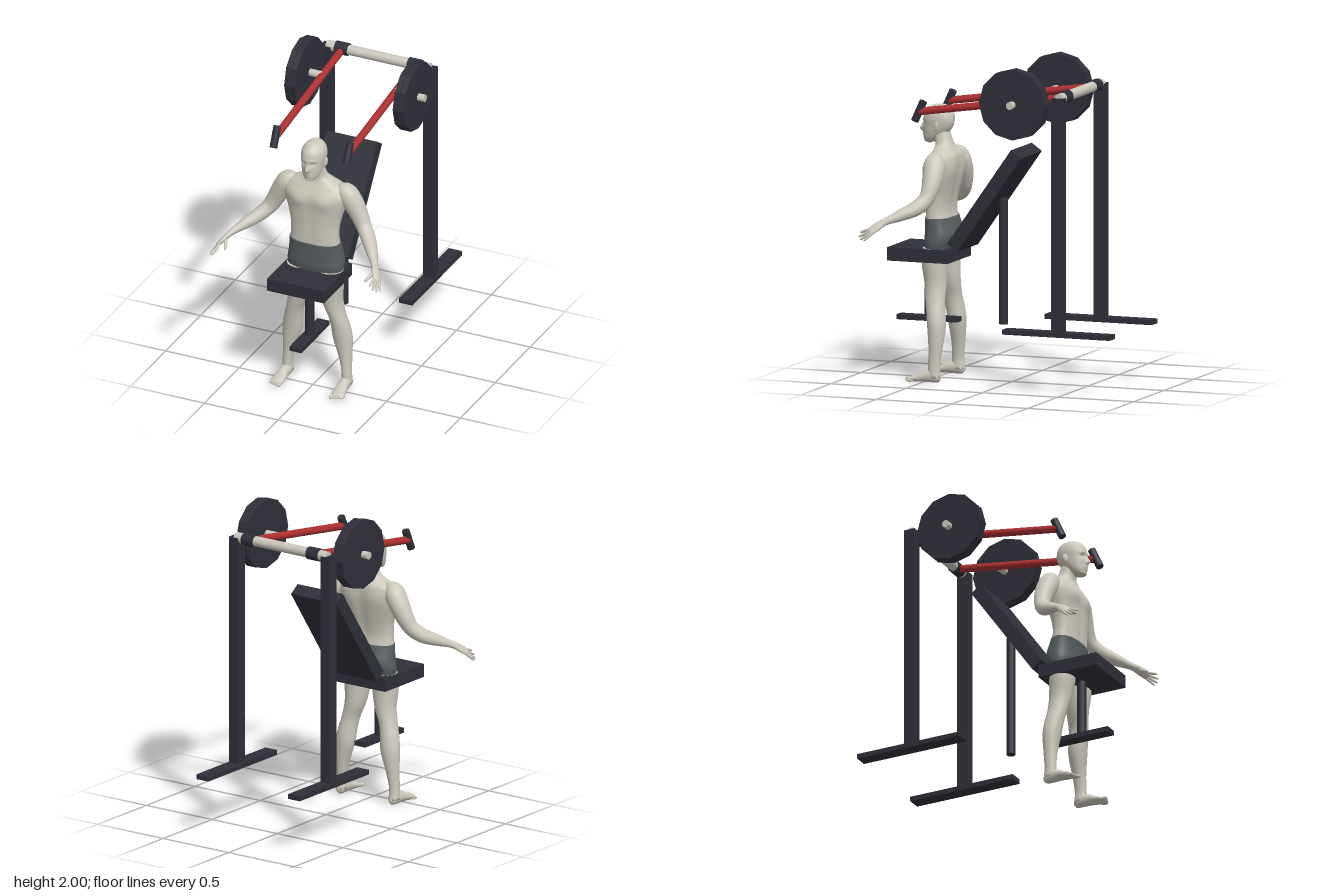
import * as THREE from 'three';

const V3 = (x, y, z) => new THREE.Vector3(x, y, z);
const UP = V3(0, 1, 0), FRONT = V3(0, 0, 1);

function paint(name, color) {
  const m = new THREE.MeshStandardMaterial({ color });
  m.name = name;
  return m;
}

// Smooth skin through elliptical sections [x, y, z, radiusU, radiusV].
// A fixed axis keeps all sections parallel; otherwise they follow the path.
function loft(rows, { ref = FRONT, axis = null, seg = 20, sub = 4, square = 1, shape = null } = {}) {
  const path = new THREE.CatmullRomCurve3(rows.map(r => V3(r[0], r[1], r[2])));
  const size = new THREE.CatmullRomCurve3(rows.map(r => V3(r[3], r[4], r[1] + r[2])));
  const n = (rows.length - 1) * sub, pos = [], idx = [];
  const bend = v => Math.sign(v) * Math.abs(v) ** square;
  for (let i = 0; i <= n; i++) {
    const c = path.getPoint(i / n), s = size.getPoint(i / n);
    const t = axis ? axis : path.getTangent(i / n);
    const u = V3().crossVectors(t, ref).normalize(), v = V3().crossVectors(u, t).normalize();
    for (let j = 0; j < seg; j++) {
      const a = j / seg * Math.PI * 2;
      const p = c.clone().addScaledVector(u, bend(Math.cos(a)) * Math.max(s.x, 0.001))
        .addScaledVector(v, bend(Math.sin(a)) * Math.max(s.y, 0.001));
      if (shape) shape(p);
      pos.push(p.x, p.y, p.z);
      if (i < n) {
        const k = (j + 1) % seg, A = i * seg + j, B = i * seg + k;
        idx.push(A, A + seg, B, B, A + seg, B + seg);
      }
    }
  }
  // Close both ends
  for (const i of [0, n]) {
    const c = path.getPoint(i / n), id = pos.length / 3;
    pos.push(c.x, c.y, c.z);
    for (let j = 0; j < seg; j++) {
      const A = i * seg + j, B = i * seg + (j + 1) % seg;
      if (i) idx.push(id, B, A); else idx.push(id, A, B);
    }
  }
  const g = new THREE.BufferGeometry();
  g.setAttribute('position', new THREE.Float32BufferAttribute(pos, 3));
  g.setIndex(idx);
  g.computeVertexNormals();
  return g;
}

// Mirror across x, restoring the face direction
function mirrored(geo) {
  const g = geo.clone(), p = g.attributes.position, a = g.index.array;
  for (let i = 0; i < p.count; i++) p.setX(i, -p.getX(i));
  for (let i = 0; i < a.length; i += 3) [a[i], a[i + 1]] = [a[i + 1], a[i]];
  g.computeVertexNormals();
  return g;
}

const bump = (dx, dy, sx, sy) => Math.exp(-((dx / sx) ** 2) - (dy / sy) ** 2);

// Face: brow, eye sockets, nose, lips and chin
function faceShape(p) {
  if (p.z < 0.52) return;
  const x = Math.abs(p.x);
  p.z += 0.024 * bump(x, p.y - 1.54, 0.013, 0.018) + 0.01 * bump(x, p.y - 1.565, 0.01, 0.022)
    - 0.012 * bump(x - 0.03, p.y - 1.578, 0.015, 0.012) + 0.005 * bump(x - 0.026, p.y - 1.6, 0.025, 0.009)
    + 0.007 * bump(x, p.y - 1.508, 0.022, 0.007) + 0.006 * bump(x, p.y - 1.492, 0.018, 0.006)
    + 0.006 * bump(x, p.y - 1.47, 0.018, 0.01);
}

// Chest, belly line, spine groove and shoulder blades
function torsoShape(p) {
  const x = Math.abs(p.x);
  if (p.z > 0.46) p.z += 0.016 * bump(x - 0.085, p.y - 1.3, 0.065, 0.045)
    - 0.006 * bump(x, p.y - 1.15, 0.012, 0.18);
  else p.z += 0.012 * bump(x, p.y - 1.2, 0.025, 0.2) - 0.008 * bump(x - 0.1, p.y - 1.31, 0.05, 0.06);
}

export function createModel() {
  const root = new THREE.Group();
  root.name = 'pressMachineWithFigure';
  const dark = paint('darkSteel', 0x2f2f3a), red = paint('redPaint', 0xac3030);
  const pale = paint('paleGrey', 0xccc8bc), cloth = paint('shortsGrey', 0x555c5e);

  const add = (name, geo, mat, x = 0, y = 0, z = 0, parent = root) => {
    const m = new THREE.Mesh(geo, mat);
    m.name = name;
    m.position.set(x, y, z);
    parent.add(m);
    return m;
  };
  const box = (name, w, h, d, x, y, z, parent) => add(name, new THREE.BoxGeometry(w, h, d), dark, x, y, z, parent);
  const rod = (name, a, b, r, mat, seg, parent) => {
    const m = add(name, new THREE.CylinderGeometry(r, r, a.distanceTo(b), seg), mat, 0, 0, 0, parent);
    m.position.copy(a).lerp(b, 0.5);
    m.quaternion.setFromUnitVectors(UP, b.clone().sub(a).normalize());
    return m;
  };

  // Machine
  const machine = new THREE.Group();
  machine.name = 'machine';
  root.add(machine);
  rod('crossBar', V3(-0.35, 1.825, -0.447), V3(0.35, 1.825, -0.447), 0.032, pale, 20, machine);
  for (const s of [-1, 1]) {
    box('uprightPost', 0.07, 1.47, 0.07, s * 0.35, 1.095, -0.445, machine);
    box('floorRail', 0.09, 0.03, 0.71, s * 0.35, 0.367, -0.445, machine);
    const x = s * 0.247;
    rod('pivotCollar', V3(x - 0.043, 1.825, -0.447), V3(x + 0.043, 1.825, -0.447), 0.04, dark, 20, machine);
    rod('pressArm', V3(x, 1.82, -0.44), V3(x, 1.682, 0.515), 0.0235, red, 16, machine);
    rod('handGrip', V3(x, 1.622, 0.545), V3(x, 1.746, 0.488), 0.024, dark, 16, machine);
    rod('weightPeg', V3(x, 1.78, -0.16), V3(s * 0.45, 1.78, -0.16), 0.0235, pale, 16, machine);
    for (const px of [0.349, 0.387]) {
      const disc = new THREE.CylinderGeometry(0.22, 0.22, 0.034, 12).toNonIndexed();
      disc.computeVertexNormals();
      disc.rotateZ(Math.PI / 2);
      add('weightPlate', disc, dark, s * px, 1.78, -0.16, machine);
    }
  }

  // Bench
  const bench = new THREE.Group();
  bench.name = 'bench';
  root.add(bench);
  box('seatPad', 0.385, 0.083, 0.4, 0, 0.778, 0.55, bench);
  box('seatFoot', 0.08, 0.03, 0.4, 0, 0.367, 0.55, bench);
  rod('seatPost', V3(0, 0.36, 0.549), V3(0, 0.75, 0.549), 0.029, dark, 16, bench);
  rod('backPost', V3(0, 0.355, 0.058), V3(0, 1.135, 0.058), 0.028, dark, 16, bench);
  box('backPad', 0.345, 0.735, 0.082, 0, 1.137, 0.118, bench).rotation.x = -Math.atan2(0.42, 0.6);

  // Figure
  const figure = new THREE.Group();
  figure.name = 'figure';
  root.add(figure);
  const both = (name, geo, mat) => {
    add(name + 'Left', geo, mat, 0, 0, 0, figure);
    add(name + 'Right', mirrored(geo), mat, 0, 0, 0, figure);
  };

  add('torso', loft([
    [0, 0.99, 0.463, 0.163, 0.08], [0, 1.06, 0.467, 0.157, 0.076], [0, 1.13, 0.463, 0.161, 0.081],
    [0, 1.2, 0.456, 0.177, 0.09], [0, 1.28, 0.449, 0.203, 0.097], [0, 1.34, 0.445, 0.212, 0.096],
    [0, 1.39, 0.435, 0.185, 0.082], [0, 1.42, 0.437, 0.125, 0.065], [0, 1.45, 0.443, 0.072, 0.055],
    [0, 1.5, 0.458, 0.056, 0.052], [0, 1.56, 0.475, 0.05, 0.05]],
  { axis: UP, seg: 48, square: 0.85, shape: torsoShape }), pale, 0, 0, 0, figure);

  add('head', loft([
    [0, 1.455, 0.545, 0.008, 0.008], [0, 1.465, 0.538, 0.035, 0.034], [0, 1.49, 0.523, 0.053, 0.056],
    [0, 1.53, 0.499, 0.066, 0.083], [0, 1.57, 0.486, 0.073, 0.096], [0, 1.61, 0.482, 0.077, 0.099],
    [0, 1.65, 0.48, 0.071, 0.09], [0, 1.68, 0.477, 0.051, 0.066], [0, 1.695, 0.475, 0.026, 0.035],
    [0, 1.699, 0.475, 0.002, 0.002]],
  { axis: UP, seg: 56, sub: 6, shape: faceShape }), pale, 0, 0, 0, figure);

  add('shorts', loft([
    [0, 0.8, 0.46, 0.178, 0.08], [0, 0.86, 0.452, 0.185, 0.098], [0, 0.91, 0.448, 0.179, 0.1],
    [0, 0.96, 0.455, 0.172, 0.091], [0, 1.005, 0.463, 0.168, 0.084]],
  { axis: UP, seg: 40, square: 0.85 }), cloth, 0, 0, 0, figure);

  both('leg', loft([
    [0.2, 0.03, 0.435, 0.034, 0.042], [0.2, 0.1, 0.437, 0.031, 0.038], [0.19, 0.2, 0.432, 0.04, 0.043],
    [0.17, 0.34, 0.432, 0.063, 0.057], [0.16, 0.42, 0.44, 0.06, 0.06], [0.142, 0.5, 0.452, 0.056, 0.062],
    [0.114, 0.6, 0.46, 0.067, 0.07], [0.105, 0.73, 0.47, 0.085, 0.08], [0.1, 0.82, 0.465, 0.085, 0.08]],
  { axis: UP, seg: 24 }), pale);

  both('foot', loft([
    [0.2, 0.03, 0.392, 0.006, 0.01], [0.2, 0.035, 0.41, 0.028, 0.034], [0.2, 0.04, 0.45, 0.033, 0.042],
    [0.202, 0.036, 0.5, 0.035, 0.036], [0.205, 0.024, 0.55, 0.041, 0.024], [0.208, 0.016, 0.59, 0.042, 0.016],
    [0.209, 0.012, 0.605, 0.03, 0.008]],
  { axis: FRONT, ref: UP, shape: p => { p.y = Math.max(p.y, 0.001); } }), pale);

  // Arms, with the backs of the hands turned up and out
  const handUp = V3(0.7, 0.7, 0);
  both('arm', loft([
    [0.14, 1.385, 0.435, 0.03, 0.03], [0.19, 1.362, 0.435, 0.062, 0.062], [0.235, 1.3, 0.427, 0.066, 0.064],
    [0.28, 1.22, 0.428, 0.056, 0.056], [0.32, 1.15, 0.443, 0.047, 0.048], [0.37, 1.1, 0.487, 0.048, 0.045],
    [0.43, 1.06, 0.565, 0.038, 0.034], [0.49, 1.02, 0.65, 0.024, 0.019], [0.517, 0.992, 0.69, 0.031, 0.016],
    [0.54, 0.965, 0.722, 0.028, 0.012], [0.547, 0.957, 0.732, 0.008, 0.004]], { ref: handUp }), pale);

  const finger = (name, a, b, r) => both(name, loft([0, 0.4, 0.8, 0.96, 1].map((t, i) => {
    const p = a.clone().lerp(b, t), k = r * [1, 1, 0.85, 0.55, 0.1][i];
    return [p.x, p.y, p.z, k, k];
  }), { ref: handUp, seg: 10, sub: 3 }), pale);
  [V3(0.575, 0.912, 0.752), V3(0.563, 0.915, 0.78), V3(0.543, 0.93, 0.797), V3(0.522, 0.955, 0.797)]
    .forEach((tip, i) => {
      const k = (i - 1.5) * 0.0125;
      finger('finger' + (i + 1), V3(0.536 - 0.5 * k, 0.97 + 0.5 * k, 0.716 + 0.7 * k), tip, 0.0085);
    });
  finger('thumb', V3(0.505, 1.0, 0.682), V3(0.472, 0.96, 0.76), 0.011);

  // Ears and toes
  for (const s of [-1, 1]) {
    const ear = add('ear', new THREE.SphereGeometry(1, 14, 10), pale, s * 0.075, 1.565, 0.474, figure);
    ear.scale.set(0.009, 0.029, 0.017);
    ear.rotation.set(-0.2, s * -0.3, 0);
    for (let i = 0; i < 5; i++) {
      const r = i ? 0.0085 : 0.0125;
      const toe = add('toe', new THREE.SphereGeometry(1, 12, 8), pale,
        s * (0.178 + i * 0.0155 + (i ? 0.003 : 0)), r + 0.001, 0.61 - i * 0.007, figure);
      toe.scale.set(r, r, 0.024);
    }
  }
  return root;
}
